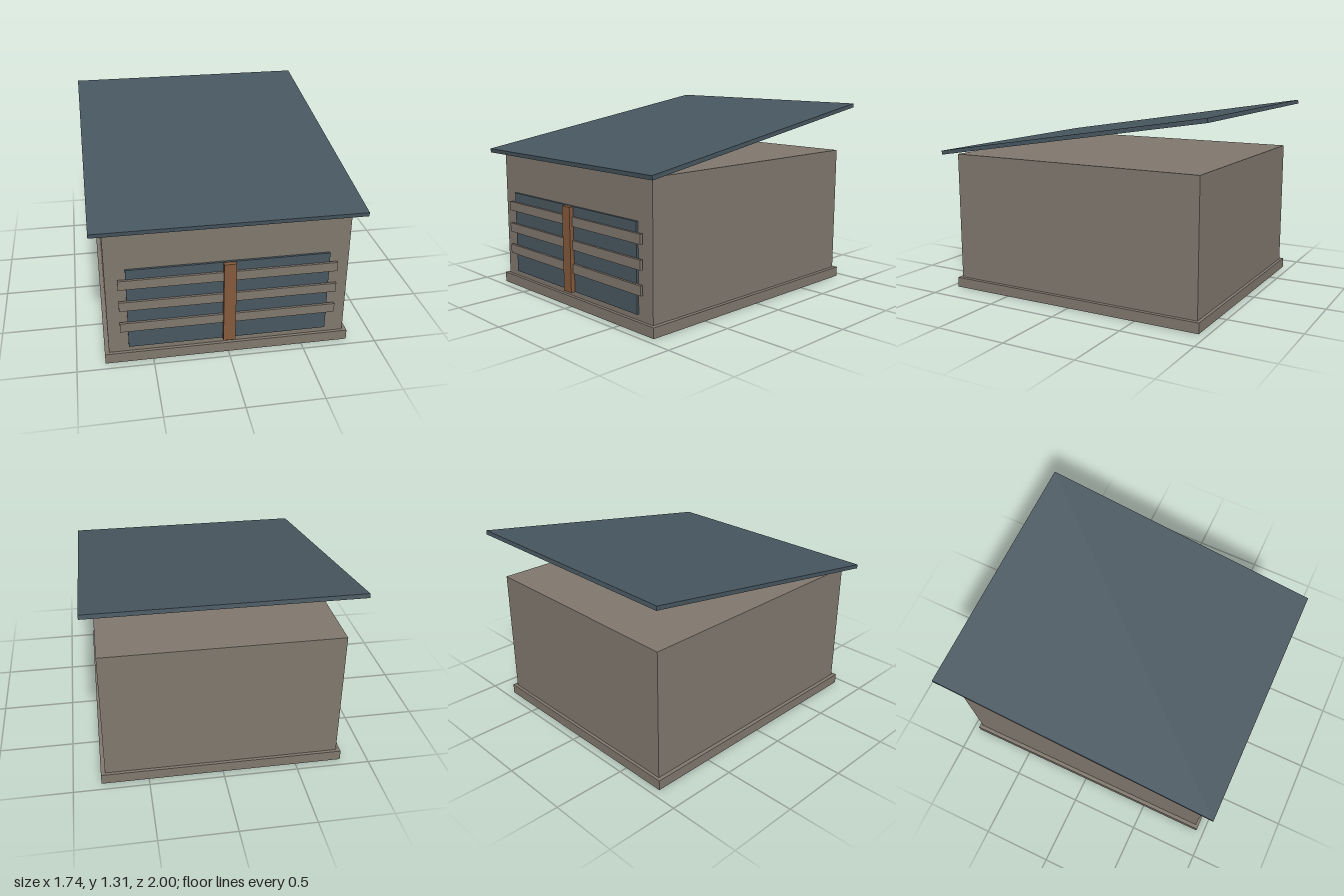
import * as THREE from 'three';

const stone = new THREE.MeshStandardMaterial({ name: 'warm grey', color: 0x7f776d });
const slate = new THREE.MeshStandardMaterial({ name: 'slate blue', color: 0x47565f });
const timber = new THREE.MeshStandardMaterial({ name: 'brown timber', color: 0x83593a });

// Box given by its width and its y and z ranges, centred on x = 0
function block(name, material, width, [y0, y1], [z0, z1]) {
  const mesh = new THREE.Mesh(new THREE.BoxGeometry(width, y1 - y0, z1 - z0), material);
  mesh.name = name;
  mesh.position.set(0, (y0 + y1) / 2, (z0 + z1) / 2);
  return mesh;
}

export function createModel() {
  const model = new THREE.Group();
  model.name = 'shed';

  // Plinth and main body
  model.add(block('plinth', stone, 1.63, [0, 0.07], [-0.945, 0.945]));
  model.add(block('walls', stone, 1.575, [0.07, 0.965], [-0.923, 0.923]));

  // Wide front door with three rails and a centre post
  const door = new THREE.Group();
  door.name = 'door';
  door.add(block('doorPanel', slate, 1.315, [0.11, 0.688], [0.923, 0.938]));
  for (const y of [0.273, 0.432, 0.59]) {
    door.add(block('doorRail', stone, 1.417, [y - 0.032, y + 0.032], [0.935, 0.954]));
  }
  door.add(block('centrePost', timber, 0.08, [0.11, 0.688], [0.943, 0.973]));
  model.add(door);

  // Single-pitch roof, low at the front and raised at the back
  const roof = new THREE.Mesh(new THREE.BoxGeometry(1.735, 0.028, 2.02), slate);
  roof.name = 'roof';
  roof.position.y = 1.137;
  roof.rotation.x = 0.157;
  model.add(roof);

  return model;
}
